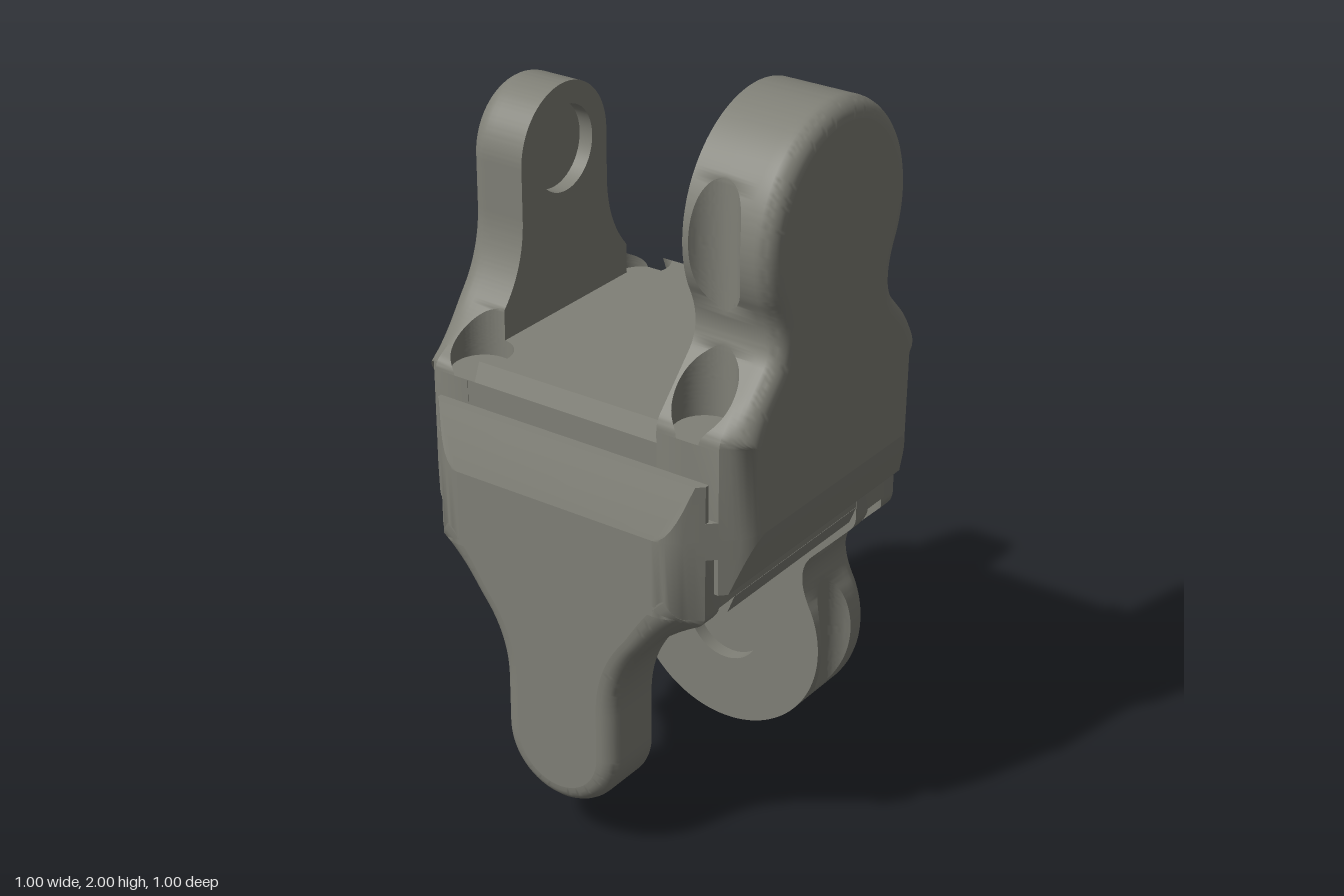
import * as THREE from 'three';
import { toCreasedNormals } from 'three/addons/utils/BufferGeometryUtils.js';
import { ConvexGeometry } from 'three/addons/geometries/ConvexGeometry.js';

const COLOR = 0x808077;
const mat = new THREE.MeshStandardMaterial({ color: COLOR });
const openMat = new THREE.MeshStandardMaterial({ color: COLOR, side: THREE.DoubleSide });

// Vertical screw clearance near each corner, and the pivot recess
const SCREW = { x: 0.337, z: 0.34, r: 0.08 };
const PIVOT = { y: 1.695, r: 0.115, depth: 0.04 };

// Depths of the rounded outer edge, and how far the edge is inset at each depth:
// a chamfer running into an arc on the base, a small round on the arm
const EDGE_Z = [0.432, 0.45, 0.46, 0.471, 0.48, 0.488, 0.494, 0.498, 0.5];
const baseInset = z => z <= 0.432 ? 0 : z <= 0.471 ? z - 0.432
  : 0.11 - Math.sqrt(Math.max(0, 0.01 - (z - 0.4) ** 2));
const rimInset = z => z <= 0.45 ? 0 : 0.05 - Math.sqrt(Math.max(0, 0.0025 - (z - 0.45) ** 2));

function add(parent, name, geometry, material = mat) {
  const mesh = new THREE.Mesh(geometry, material);
  mesh.name = name;
  parent.add(mesh);
  return mesh;
}

// Right half of the wide arm outline, from the pocket floor to the top
function wideOutline() {
  const p = new THREE.Path();
  p.moveTo(0.41, 1.24);
  p.quadraticCurveTo(0.41, 1.265, 0.393, 1.283);
  p.lineTo(0.28, 1.4);
  p.quadraticCurveTo(0.22, 1.46, 0.278, 1.57);
  p.absarc(0, PIVOT.y, 0.305, -0.422, Math.PI / 2, false);
  return p;
}

// Right half of the narrow arm outline
function narrowOutline() {
  const p = new THREE.Path();
  p.moveTo(0.41, 1.21);
  p.quadraticCurveTo(0.41, 1.232, 0.385, 1.245);
  p.bezierCurveTo(0.27, 1.31, 0.175, 1.4, 0.175, 1.56);
  p.absarc(0, PIVOT.y, 0.175, 0, Math.PI / 2, false);
  return p;
}

// Points across the arm's flank at one outline point p with tangent t,
// from the inner face, round the screw clearance, to the outer face
function flank(p, t, inner, cut) {
  const { x: cx, z: cz, r } = SCREW;
  const clipped = inner > cz - r;
  const first = clipped ? Math.PI - Math.asin((cz - inner) / r) : 0;
  const meet = cut ? Math.acos(THREE.MathUtils.clamp((p.x - cx) / r, -1, 1)) : Math.PI;
  const near = cut && clipped ? cx + r * Math.cos(first) : p.x;
  const pts = [new THREE.Vector3(Math.min(p.x, near), p.y, inner)];
  const start = -Math.max(meet, first);
  const end = meet - 2 * Math.PI;
  for (let k = 0; k <= 24; k++) {
    const a = THREE.MathUtils.lerp(start, end, k / 24);
    const x = cut ? Math.min(p.x, cx + r * Math.cos(a)) : p.x;
    pts.push(new THREE.Vector3(x, p.y, cut ? cz + r * Math.sin(a) : cz));
  }
  const blend = THREE.MathUtils.smoothstep(p.y, 1.2, 1.36);
  for (const z of EDGE_Z) {
    const inset = THREE.MathUtils.lerp(baseInset(z), rimInset(z), blend);
    pts.push(new THREE.Vector3(Math.max(0, p.x - t.y * inset), p.y + t.x * inset, z));
  }
  return pts;
}

// Arm: flank sections swept along the outline and mirrored, then capped
function makeArm(path, inner) {
  const half = path.getSpacedPoints(130);
  const up = new THREE.Vector2(0, 1);
  const rows = [
    flank(new THREE.Vector2(0.41, 1), up, inner, false),
    flank(half[0], up, inner, false),
    ...half.map((p, i) => {
      const t = half[Math.min(i + 1, half.length - 1)].clone().sub(half[Math.max(i - 1, 0)]).normalize();
      return flank(p, i ? t : up, inner, true);
    }),
  ];
  const mirrored = rows.slice(0, -1).reverse().map(row => row.map(v => new THREE.Vector3(-v.x, v.y, v.z)));
  const loop = [...rows, ...mirrored];

  const pos = [];
  loop.forEach((row, i) => {
    const next = loop[(i + 1) % loop.length];
    for (let j = 0; j < row.length - 1; j++) {
      for (const v of [row[j], next[j], next[j + 1], row[j], next[j + 1], row[j + 1]]) pos.push(v.x, v.y, v.z);
    }
  });
  const rim = new THREE.BufferGeometry();
  rim.setAttribute('position', new THREE.Float32BufferAttribute(pos, 3));

  const arm = new THREE.Group();
  add(arm, 'armRim', toCreasedNormals(rim, 0.6));

  // Outer and inner faces
  const faceShape = j => new THREE.Shape(loop.map(row => new THREE.Vector2(row.at(j).x, row.at(j).y)));
  add(arm, 'armOuterFace', new THREE.ShapeGeometry(faceShape(-1))).position.z = 0.5;
  const innerShape = faceShape(0);
  innerShape.holes.push(new THREE.Path().absarc(0, PIVOT.y, PIVOT.r, 0, Math.PI * 2, true));
  add(arm, 'armInnerFace', new THREE.ShapeGeometry(innerShape, 24).rotateY(Math.PI)).position.z = inner;

  // Blind pivot recess on the inner face
  const wall = new THREE.CylinderGeometry(PIVOT.r, PIVOT.r, PIVOT.depth, 48, 1, true).rotateX(Math.PI / 2);
  add(arm, 'pivotRecessWall', wall, openMat).position.set(0, PIVOT.y, inner + PIVOT.depth / 2);
  const base = new THREE.CircleGeometry(PIVOT.r, 48).rotateY(Math.PI);
  add(arm, 'pivotRecessFloor', base).position.set(0, PIVOT.y, inner + PIVOT.depth);

  // Bevelled lip overlapping the other bracket, with a thin gap behind it
  const pts = [];
  for (const s of [-1, 1]) {
    for (const z of [0.42, ...EDGE_Z]) {
      const x = s * (0.41 - baseInset(z));
      pts.push(new THREE.Vector3(x, 1, z));
      pts.push(new THREE.Vector3(x, 0.85 + Math.max(0, z - 0.45) * 3, z));
    }
  }
  add(arm, 'lip', toCreasedNormals(new ConvexGeometry(pts), 0.4));
  return arm;
}

// Bracket: wide arm in front, narrow arm behind, raised deck between
function makeBracket() {
  const bracket = new THREE.Group();
  const wide = makeArm(wideOutline(), 0.25);
  wide.name = 'wideArm';
  const narrow = makeArm(narrowOutline(), 0.33);
  narrow.name = 'narrowArm';
  narrow.rotation.y = Math.PI;
  bracket.add(wide, narrow);

  const deck = new THREE.Shape();
  deck.moveTo(-0.41, -0.25);
  deck.lineTo(0.41, -0.25);
  deck.absarc(SCREW.x, SCREW.z, SCREW.r, -0.424, -3.017, true);
  deck.absarc(-SCREW.x, SCREW.z, SCREW.r, -0.125, -2.717, true);
  deck.closePath();
  const slab = new THREE.ExtrudeGeometry(deck, { depth: 0.05, bevelEnabled: false, curveSegments: 16 });
  // bevel the long side edges by drawing in their top corners
  const p = slab.attributes.position;
  for (let i = 0; i < p.count; i++) {
    if (p.getZ(i) > 0.04 && Math.abs(p.getX(i)) > 0.39) p.setX(i, Math.sign(p.getX(i)) * 0.39);
  }
  slab.rotateX(-Math.PI / 2).computeVertexNormals();
  add(bracket, 'deck', slab).position.y = 1.21;
  return bracket;
}

export function createModel() {
  const model = new THREE.Group();
  model.name = 'doubleBracket';
  add(model, 'core', new THREE.BoxGeometry(0.818, 0.42, 0.818)).position.y = 1;

  // Chamfered waist joining the lips to the core
  const a = 0.41, b = 0.432;
  const outline = [[a, b], [-a, b], [-b, a], [-b, -a], [-a, -b], [a, -b], [b, -a], [b, a]];
  const waist = new THREE.Shape(outline.map(([x, y]) => new THREE.Vector2(x, y)));
  const waistGeo = new THREE.ExtrudeGeometry(waist, { depth: 0.1, bevelEnabled: false });
  add(model, 'waist', waistGeo.rotateX(-Math.PI / 2)).position.y = 0.95;

  const upper = makeBracket();
  upper.name = 'upperBracket';

  // Same bracket turned upside down and a quarter turn round
  const lower = makeBracket();
  lower.name = 'lowerBracket';
  lower.quaternion.setFromAxisAngle(new THREE.Vector3(1, 0, 1).normalize(), Math.PI);
  lower.position.y = 2;

  model.add(upper, lower);
  return model;
}
